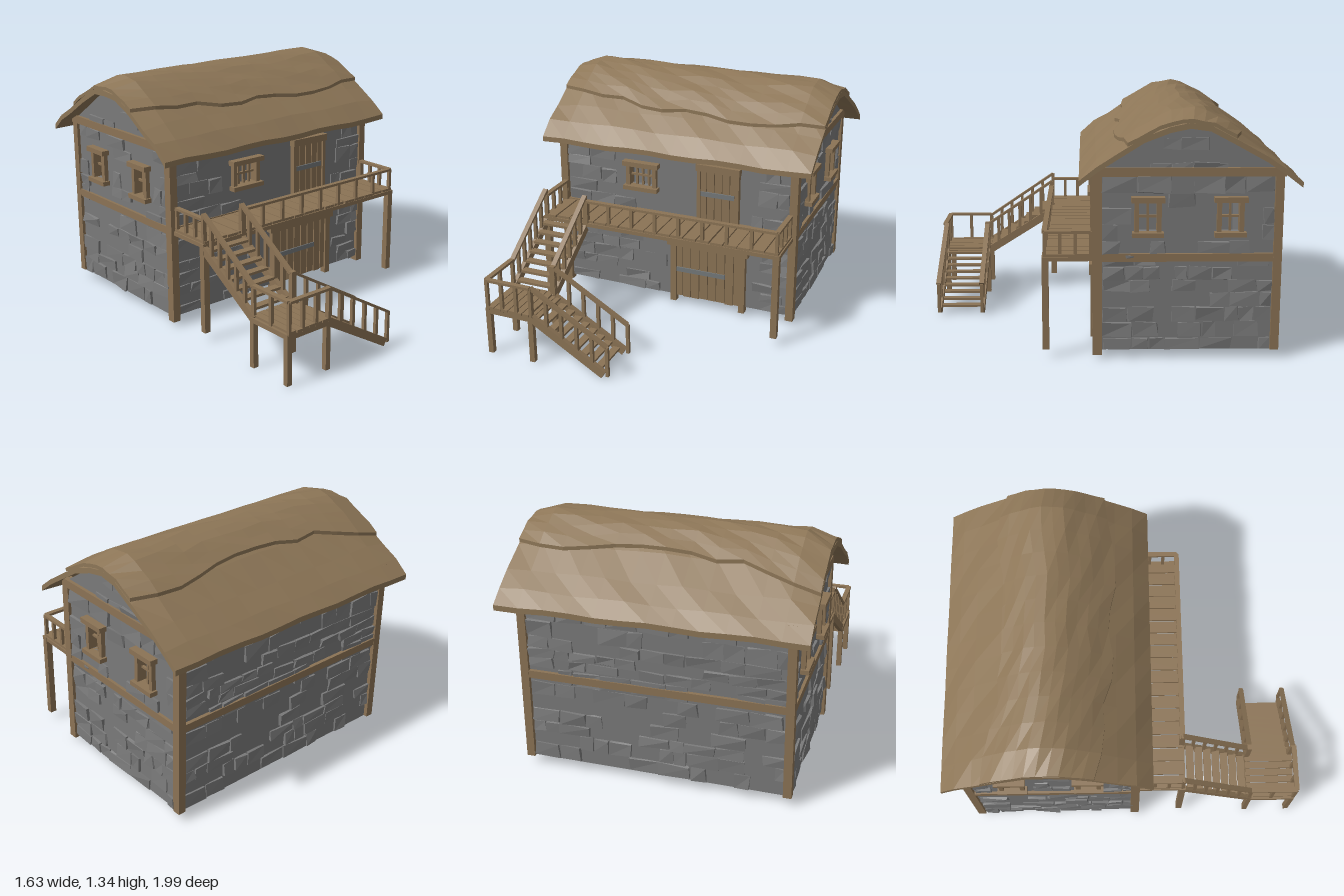
import * as THREE from 'three';
import { mergeGeometries } from 'three/addons/utils/BufferGeometryUtils.js';

const mat = (name, color, extra = {}) => {
  const m = new THREE.MeshStandardMaterial({ color, flatShading: true, ...extra });
  m.name = name;
  return m;
};

export function createModel() {
  const wood = mat('wood', 0x8b7355);
  const thatch = mat('thatch', 0x8d7657);
  const stone = mat('stone', 0x7a7a7a);
  const iron = mat('iron', 0x74787a);
  const model = new THREE.Group();
  model.name = 'stoneHouse';

  let seed = 7;
  const rnd = (a = 0, b = 1) => {
    seed = (seed * 16807) % 2147483647;
    return a + (b - a) * (seed / 2147483647);
  };
  const group = (name, parent = model) => {
    const g = new THREE.Group();
    g.name = name;
    parent.add(g);
    return g;
  };
  // box given by its min and max corners
  const box = (g, name, x0, x1, y0, y1, z0, z1, m = wood) => {
    const b = new THREE.Mesh(new THREE.BoxGeometry(x1 - x0, y1 - y0, z1 - z0), m);
    b.position.set((x0 + x1) / 2, (y0 + y1) / 2, (z0 + z1) / 2);
    b.name = name;
    g.add(b);
    return b;
  };
  // straight timber between two points
  const beam = (g, name, a, b, w, h) => {
    const A = new THREE.Vector3(...a), B = new THREE.Vector3(...b);
    const m = new THREE.Mesh(new THREE.BoxGeometry(w, h, A.distanceTo(B)), wood);
    m.position.copy(A).lerp(B, 0.5);
    m.lookAt(B.clone().sub(A).add(m.position));
    m.name = name;
    g.add(m);
  };
  // handrail with n + 1 balusters between two points at floor level
  const railing = (g, a, b, n, height, skipFirst = false) => {
    const up = (p) => [p[0], p[1] + height, p[2]];
    beam(g, 'handrail', up(a), up(b), 0.028, 0.014);
    for (let i = skipFirst ? 1 : 0; i <= n; i++) {
      const [x, y, z] = a.map((v, k) => v + (b[k] - v) * i / n);
      box(g, 'baluster', x - 0.009, x + 0.009, y - 0.02, y + height, z - 0.009, z + 0.009);
    }
  };

  // ---- stone walls, each in its own frame facing local +z
  const CX = -0.0075, CZ = -0.43;
  const rectPath = ([x0, x1, y0, y1]) => new THREE.Path([
    [x0, y0], [x0, y1], [x1, y1], [x1, y0]].map((p) => new THREE.Vector2(...p)));
  const blocks = (half, holes, top) => {
    const out = [];
    for (let v = 0.06, h; v < 1.26; v += h) {
      h = rnd(0.055, 0.095);
      for (let u = -half + 0.03, w; u < half - 0.06; u += w) {
        w = Math.min(rnd(0.07, 0.19), half - 0.02 - u);
        const keep = rnd() < 0.68, e = v + h;
        const clear = holes.every(([a, b, c, d]) => u + w < a || u > b || e < c || v > d);
        if (!keep || !clear || e > Math.min(top(u), top(u + w))) continue;
        const corner = [...Array(8)].map(() => [rnd(-0.008, 0.006), rnd(-0.007, 0.005), rnd(-0.008, 0.007)]);
        const g = new THREE.BoxGeometry(w - 0.006, h - 0.006, 0.024);
        const p = g.attributes.position;
        for (let i = 0; i < p.count; i++) {
          const k = (p.getX(i) > 0 ? 1 : 0) + (p.getY(i) > 0 ? 2 : 0) + (p.getZ(i) > 0 ? 4 : 0);
          const [dx, dy, dz] = corner[k];
          p.setXYZ(i, p.getX(i) + dx, p.getY(i) + dy, p.getZ(i) + (k > 3 ? dz : 0));
        }
        out.push(g.translate(u + w / 2, v + h / 2, 0));
      }
    }
    return mergeGeometries(out);
  };
  const wall = (name, x, z, turn, half, holes, blocked, gable) => {
    const g = group(name);
    g.position.set(x, 0, z);
    g.rotation.y = turn;
    const pts = [[-half, 0.055], [half, 0.055], [half, 1.02]];
    if (gable) pts.push([0.23, 1.18], [0.1, 1.25], [0, 1.27], [-0.1, 1.25], [-0.23, 1.18]);
    pts.push([-half, 1.02]);
    const shape = new THREE.Shape(pts.map((p) => new THREE.Vector2(...p)));
    shape.holes = holes.map(rectPath);
    const geo = new THREE.ExtrudeGeometry(shape, { depth: 0.03, bevelEnabled: false });
    const slab = new THREE.Mesh(geo.translate(0, 0, -0.03), stone);
    slab.name = 'wallSlab';
    const top = (u) => (gable ? 1.27 - 0.56 * Math.abs(u) : 1.0);
    const relief = new THREE.Mesh(blocks(half, blocked, top), stone);
    relief.name = 'stoneBlocks';
    g.add(slab, relief);
    return g;
  };
  // framed window in wall coordinates with crossing bars
  const windowFrame = (g, cx, w, y0, y1, bars) => {
    const f = group('window', g), h = w / 2;
    box(f, 'sill', cx - h - 0.032, cx + h + 0.032, y0 - 0.025, y0, -0.03, 0.045);
    box(f, 'header', cx - h - 0.036, cx + h + 0.036, y1, y1 + 0.028, -0.03, 0.045);
    for (const s of [-1, 1]) {
      const x = cx + s * (h + 0.008);
      box(f, 'jamb', x - 0.012, x + 0.012, y0, y1, -0.03, 0.025);
    }
    const my = (y0 + y1) / 2;
    box(f, 'crossBar', cx - h, cx + h, my - 0.006, my + 0.006, -0.016, -0.002);
    for (let i = 1; i <= bars; i++) {
      const x = cx - h + w * i / (bars + 1);
      box(f, 'uprightBar', x - 0.006, x + 0.006, y0, y1, -0.016, -0.002);
    }
  };

  const frontHole = [-0.285, -0.135, 0.73, 0.852];
  const front = wall('frontWall', CX, 0.04, 0, 0.72, [frontHole],
    [[-0.33, -0.09, 0.7, 0.885], [-0.04, 0.45, 0, 0.46], [0.13, 0.4, 0.55, 0.93]], false);
  windowFrame(front, -0.21, 0.15, 0.73, 0.852, 3);
  wall('backWall', CX, -0.9, Math.PI, 0.72, [], [], false);
  for (const s of [-1, 1]) {
    const cs = [0.205, -0.22].map((z) => -s * z);
    const side = wall(s > 0 ? 'leftWall' : 'rightWall', CX + s * 0.72, CZ, s * Math.PI / 2, 0.47,
      cs.map((c) => [c - 0.05, c + 0.05, 0.7, 0.857]), cs.map((c) => [c - 0.08, c + 0.08, 0.67, 0.89]), true);
    cs.forEach((c) => windowFrame(side, c, 0.1, 0.7, 0.857, 1));
  }
  box(model, 'groundFloor', CX - 0.72, CX + 0.72, 0.055, 0.07, -0.9, 0.04, stone);

  // ---- timber frame
  const frame = group('timberFrame');
  for (const s of [-1, 1]) {
    const x = CX + s * 0.715;
    box(frame, 'frontPost', x - 0.0225, x + 0.0225, 0.03, 1.02, 0.012, 0.062);
    box(frame, 'backPost', x - 0.0225, x + 0.0225, 0.055, 1.02, -0.922, -0.877);
    box(frame, 'sideBeam', x - 0.021, x + 0.021, 0.54, 0.582, -0.9, 0.04);
    box(frame, 'gableBeam', x - 0.024, x + 0.024, 0.99, 1.035, -0.93, 0.06);
  }
  box(frame, 'frontBeam', CX - 0.7, CX + 0.7, 0.54, 0.582, 0.02, 0.06);
  box(frame, 'backBeam', CX - 0.7, CX + 0.7, 0.54, 0.582, -0.92, -0.88);

  // ---- plank doors
  const door = (name, x0, x1, y0, y1, n, bandY, bandX, jamb, over) => {
    const g = group(name), w = (x1 - x0) / n;
    box(g, 'doorBack', x0, x1, y0, y1, 0.03, 0.046);
    for (let i = 0; i < n; i++) {
      box(g, 'plank', x0 + i * w + 0.003, x0 + (i + 1) * w - 0.003, y0 + rnd(0, 0.01), y1 - rnd(0, 0.01), 0.035, 0.056 + rnd(0, 0.003));
    }
    box(g, 'ironBand', x0, bandX, bandY - 0.014, bandY + 0.014, 0.05, 0.064, iron);
    for (const x of [x0, x1]) box(g, 'jamb', x - jamb, x + jamb, y0 - (over > 0.03 ? 0.03 : 0), y1, 0.03, 0.07);
    const lintel = box(g, 'lintel', x0 - over, x1 + over, y1 - 0.005, y1 + (over > 0.03 ? 0.055 : 0.035), 0.03, 0.078);
    lintel.rotation.z = -0.012;
  };
  door('lowerDoor', -0.012, 0.418, 0.055, 0.395, 8, 0.235, 0.31, 0.018, 0.036);
  door('upperDoor', 0.145, 0.378, 0.58, 0.888, 5, 0.742, 0.358, 0.01, 0.015);

  // ---- thatched roof: wavy slabs swept along x
  const profile = [[0.13, 0.98], [0.04, 1.065], [-0.06, 1.135], [-0.2, 1.23], [-0.33, 1.3], [-0.43, 1.322],
    [-0.53, 1.3], [-0.67, 1.22], [-0.82, 1.115], [-0.92, 1.045], [-1, 0.98]];
  const roofY = (z) => {
    let i = 0;
    while (i < profile.length - 2 && z < profile[i + 1][0]) i++;
    const [z0, y0] = profile[i], [z1, y1] = profile[i + 1];
    return y0 + (y1 - y0) * (z - z0) / (z1 - z0);
  };
  const frontEdge = [-0.18, -0.14, -0.125, -0.13, -0.085, -0.075, -0.1, -0.09, -0.06, -0.06, -0.075, -0.1, -0.115];
  const backEdge = [-0.77, -0.755, -0.72, -0.675, -0.685, -0.66, -0.655, -0.65, -0.66, -0.69, -0.71, -0.7, -0.66];
  const slab = (name, zAt, steps, lift, thick, wobble) => {
    const pos = [], idx = [], R = 2 * (steps + 1), N = frontEdge.length;
    for (let i = 0; i < N; i++) {
      const x = -0.82 + 1.635 * i / (N - 1);
      const droop = 0.05 * Math.max(0, (Math.abs(x) - 0.66) / 0.16) ** 2;
      const top = [];
      for (let j = 0; j <= steps; j++) {
        const z = zAt(i, j / steps, j);
        const ridge = Math.max(0, 1 - Math.abs(z - CZ) / 0.55);
        const y = roofY(z) + lift - droop * ridge + wobble * Math.sin(i * 1.7 + j * 2.3);
        top.push([x, y, z]);
      }
      top.forEach((p) => pos.push(...p));
      top.reverse().forEach(([a, y, z]) => pos.push(a, y - thick, z));
    }
    for (let i = 0; i < N - 1; i++) {
      for (let k = 0; k < R; k++) {
        const a = i * R + k, b = i * R + (k + 1) % R;
        idx.push(a, a + R, b, b, a + R, b + R);
      }
    }
    for (let k = 0; k < steps; k++) {
      const m = R - 1 - k, e = (N - 1) * R;
      idx.push(k, k + 1, m, k + 1, m - 1, m, e + k, e + m, e + k + 1, e + k + 1, e + m, e + m - 1);
    }
    const geo = new THREE.BufferGeometry();
    geo.setAttribute('position', new THREE.Float32BufferAttribute(pos, 3));
    geo.setIndex(idx);
    geo.computeVertexNormals();
    const mesh = new THREE.Mesh(geo, thatch);
    mesh.name = name;
    roof.add(mesh);
  };
  const roof = group('roof');
  thatch.side = THREE.DoubleSide;
  slab('lowerThatch', (i, t, j) => profile[j][0], profile.length - 1, 0, 0.03, 0.005);
  slab('upperThatch', (i, t) => frontEdge[i] + (backEdge[i] - frontEdge[i]) * t, 10, 0.022, 0.02, 0.004);

  // ---- balcony
  const balcony = group('balcony');
  for (let i = 0; i < 18; i++) {
    const x = -0.72 + i * 0.0795;
    box(balcony, 'deckPlank', x, x + 0.07 + rnd(0, 0.006), 0.562, 0.576, 0.05, 0.315 + rnd(0, 0.01));
  }
  box(balcony, 'frontJoist', -0.73, 0.715, 0.54, 0.562, 0.29, 0.325);
  for (const x of [-0.71, 0.695]) {
    box(balcony, 'sideJoist', x - 0.018, x + 0.018, 0.54, 0.562, 0.05, 0.3);
    box(balcony, 'supportPost', x - 0.018, x + 0.018, 0.055, 0.545, 0.29, 0.325);
    railing(balcony, [x, 0.575, 0.07], [x, 0.575, 0.31], 3, 0.118);
  }
  railing(balcony, [-0.455, 0.575, 0.31], [0.695, 0.575, 0.31], 8, 0.118);
  box(balcony, 'stairHeadPost', -0.468, -0.44, 0.54, 0.7, 0.295, 0.325);

  // ---- upper stair and lower stair
  const stairs = group('stairs');
  for (const x of [-0.715, -0.46]) {
    beam(stairs, 'upperStringer', [x, 0.275, 0.72], [x, 0.53, 0.315], 0.025, 0.045);
    railing(stairs, [x, 0.3, 0.715], [x, 0.575, 0.31], 6, 0.12 + 0.03);
  }
  for (let i = 0; i < 7; i++) {
    const t = (i + 0.5) / 7, y = 0.295 + 0.26 * t, z = 0.7 - 0.37 * t;
    box(stairs, 'upperTread', -0.71, -0.465, y - 0.007, y + 0.007, z - 0.022, z + 0.022);
  }
  for (const z of [0.717, 0.972]) {
    beam(stairs, 'lowerStringer', [-0.46, 0.28, z], [-0.03, 0.026, z], 0.025, 0.045);
    railing(stairs, [-0.45, 0.3, z], [-0.008, 0.04, z], 5, 0.155);
  }
  for (let i = 0; i < 9; i++) {
    const t = (i + 0.5) / 9, y = 0.29 - 0.26 * t, x = -0.455 + 0.405 * t;
    box(stairs, 'lowerTread', x - 0.021, x + 0.021, y - 0.006, y + 0.006, 0.72, 0.97);
  }

  // ---- corner landing
  const landing = group('landing');
  for (let i = 0; i < 6; i++) {
    const x = -0.715 + i * 0.043;
    box(landing, 'deckPlank', x, x + 0.038, 0.285, 0.298, 0.705, 0.985 + rnd(0, 0.008));
  }
  for (const x of [-0.715, -0.455]) {
    box(landing, 'sideJoist', x - 0.015, x + 0.015, 0.26, 0.286, 0.71, 0.985);
    for (const z of [0.717, 0.972]) box(landing, 'leg', x - 0.015, x + 0.015, 0.01, 0.286, z - 0.014, z + 0.014);
  }
  for (const z of [0.717, 0.972]) box(landing, 'crossJoist', -0.73, -0.44, 0.255, 0.286, z - 0.014, z + 0.014);
  railing(landing, [-0.715, 0.298, 0.717], [-0.715, 0.298, 0.98], 2, 0.157);
  railing(landing, [-0.715, 0.298, 0.98], [-0.45, 0.298, 0.98], 3, 0.157);
  box(landing, 'innerPost', -0.472, -0.442, 0.26, 0.465, 0.703, 0.731);
  return model;
}
